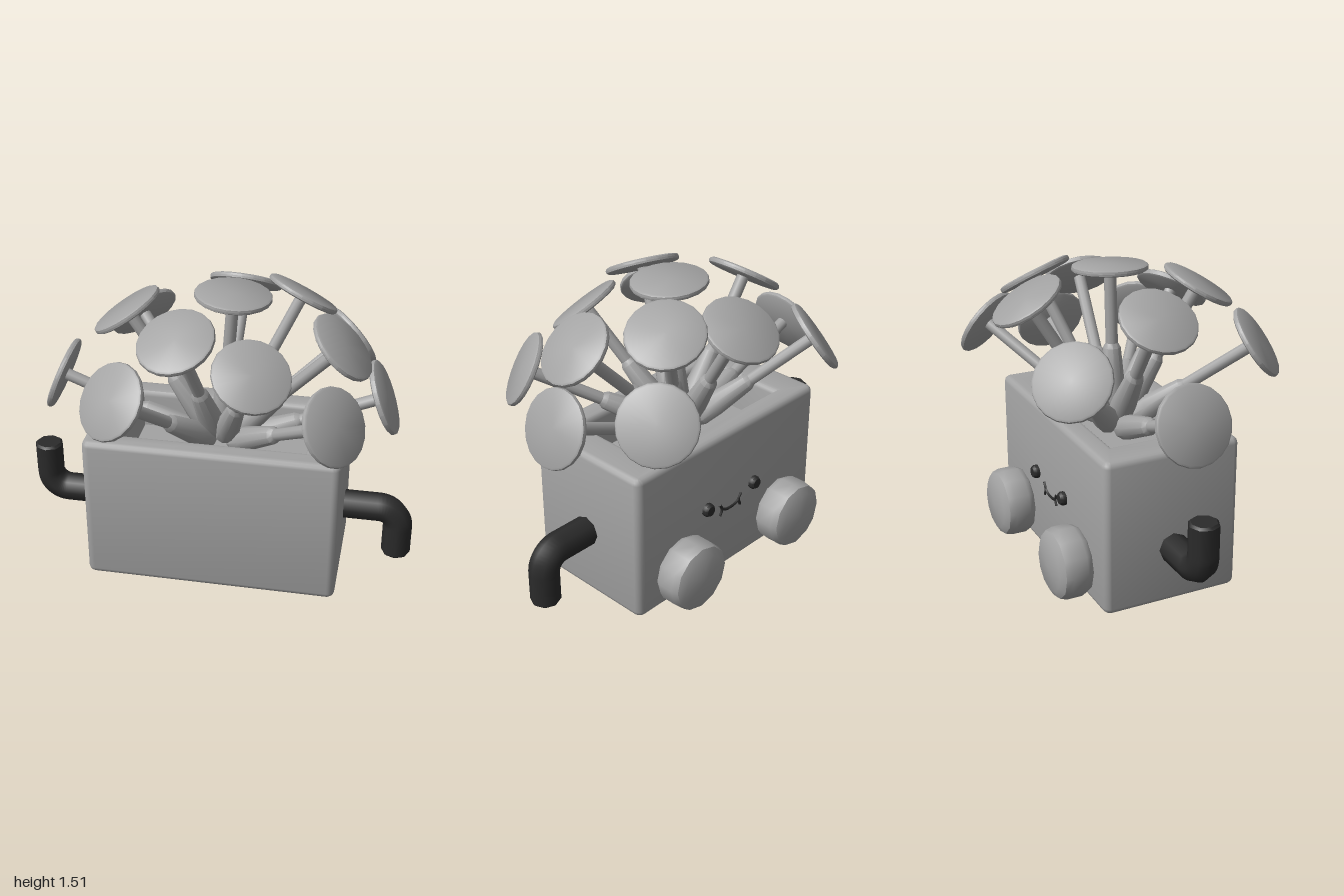
import * as THREE from 'three';
import { toCreasedNormals } from 'three/addons/utils/BufferGeometryUtils.js';

const grey = new THREE.MeshStandardMaterial({ color: 0xa3a3a3 });
grey.name = 'grey';
const black = new THREE.MeshStandardMaterial({ color: 0x2b2b2b });
black.name = 'black';

const V = (x, y, z) => new THREE.Vector3(x, y, z);

function add(parent, name, geometry, material) {
  const mesh = new THREE.Mesh(geometry, material);
  mesh.name = name;
  parent.add(mesh);
  return mesh;
}

// Turned part along +y from [radius, height] pairs, bottom to top
function turned(points, sides, crease = 0.6) {
  const profile = points.map(([r, y]) => new THREE.Vector2(r, y));
  return toCreasedNormals(new THREE.LatheGeometry(profile, sides), crease);
}

// Traces a rectangle with rounded corners
function roundedRect(path, hw, hh, r) {
  path.moveTo(-hw + r, -hh);
  path.lineTo(hw - r, -hh);
  path.absarc(hw - r, -hh + r, r, -Math.PI / 2, 0);
  path.absarc(hw - r, hh - r, r, 0, Math.PI / 2);
  path.absarc(-hw + r, hh - r, r, Math.PI / 2, Math.PI);
  path.absarc(-hw + r, -hh + r, r, Math.PI, Math.PI * 1.5);
  return path;
}

// Open box with soft edges and a solid lower half
function buildBox(group) {
  const bevel = 0.03;
  const shape = roundedRect(new THREE.Shape(), 0.643, 0.352, 0.04);
  const hole = new THREE.Path();
  hole.moveTo(-0.46, -0.23);
  hole.lineTo(-0.46, 0.23);
  hole.lineTo(0.46, 0.23);
  hole.lineTo(0.46, -0.23);
  hole.closePath();
  shape.holes.push(hole);
  const walls = new THREE.ExtrudeGeometry(shape, {
    depth: 0.785 - 2 * bevel, bevelThickness: bevel, bevelSize: bevel,
    bevelOffset: -bevel, bevelSegments: 3, curveSegments: 4,
  });
  walls.rotateX(-Math.PI / 2);
  walls.translate(0, bevel + 0.002, -0.05);
  add(group, 'boxWalls', toCreasedNormals(walls, 0.7), grey);
  const floor = add(group, 'boxFloor', new THREE.BoxGeometry(1.04, 0.58, 0.58), grey);
  floor.position.set(0, 0.293, -0.05);
}

// Stalks fan out from one point, each ending in a round disc
function buildStalks(group) {
  const origin = V(0, 0.66, -0.05);
  const disc = turned([
    [0, -0.016], [0.178, -0.016], [0.187, -0.01], [0.19, 0],
    [0.187, 0.01], [0.178, 0.016], [0, 0.016],
  ], 20);
  const tips = [
    [-0.815, 0.98, -0.05], [0.81, 1.0, -0.05], [-0.5, 1.15, -0.49],
    [0.05, 1.37, -0.48], [0.6, 1.108, -0.49], [0.365, 1.4, -0.31],
    [-0.47, 1.36, -0.05], [0.06, 1.48, -0.04], [0.6, 1.293, 0.035],
    [-0.14, 1.397, 0.34], [0.22, 1.277, 0.387], [-0.407, 1.155, 0.517],
    [0.607, 1.063, 0.4],
  ];
  for (const [x, y, z] of tips) {
    const dir = V(x, y, z).sub(origin);
    const length = dir.length();
    const stalk = new THREE.Group();
    stalk.name = 'stalk';
    stalk.position.copy(origin);
    stalk.quaternion.setFromUnitVectors(V(0, 1, 0), dir.normalize());
    add(stalk, 'rod', new THREE.CylinderGeometry(0.031, 0.031, length - 0.1, 10, 1, true), grey)
      .position.y = (length + 0.1) / 2;
    add(stalk, 'sleeve', turned([
      [0, 0.1], [0.05, 0.1], [0.062, 0.13], [0.062, 0.22], [0.045, 0.42], [0.03, 0.445],
    ], 10, 0.7), grey);
    add(stalk, 'disc', disc, grey).position.y = length;
    group.add(stalk);
  }
}

// Bent pipe arm with chamfered end caps; side is +1 or -1, bend is up or down
function buildArm(group, name, side, y, endY) {
  const bend = Math.sign(endY - y);
  const r = 0.1;
  const xEnd = 0.927;
  const path = new THREE.CurvePath();
  const corner = V(side * xEnd, y, -0.05);
  const a = V(side * (xEnd - r), y, -0.05);
  const b = V(side * xEnd, y + bend * r, -0.05);
  const start = V(side * 0.648, y, -0.05);
  const end = V(side * xEnd, endY - bend * 0.012, -0.05);
  path.add(new THREE.LineCurve3(start, a));
  path.add(new THREE.CubicBezierCurve3(a, a.clone().lerp(corner, 0.55), b.clone().lerp(corner, 0.55), b));
  path.add(new THREE.LineCurve3(b, end));
  const arm = new THREE.Group();
  arm.name = name;
  add(arm, 'pipe', new THREE.TubeGeometry(path, 40, 0.075, 8), black);
  const cap = add(arm, 'pipeEnd', turned([[0.075, 0], [0.064, 0.012], [0, 0.012]], 8), black);
  cap.position.copy(end);
  if (bend < 0) cap.rotation.x = Math.PI;
  group.add(arm);
}

// Feet, eyes and mouth on the rear wall
function buildFace(group) {
  const foot = turned([
    [0, 0], [0.14, 0], [0.166, 0.012], [0.178, 0.04], [0.178, 0.115],
    [0.168, 0.15], [0.13, 0.172], [0, 0.18],
  ], 12, 0.75);
  const eye = turned([[0.035, 0], [0.035, 0.02], [0.026, 0.033], [0, 0.036]], 10, 0.8);
  foot.rotateX(-Math.PI / 2);
  eye.rotateX(-Math.PI / 2);
  for (const s of [-1, 1]) {
    add(group, s > 0 ? 'leftFoot' : 'rightFoot', foot, grey).position.set(s * 0.365, 0.179, -0.4);
    add(group, s > 0 ? 'leftEye' : 'rightEye', eye, black).position.set(s * 0.172, 0.415, -0.4);
  }
  const z = -0.404;
  const line = (name, points) => add(group, name,
    new THREE.TubeGeometry(new THREE.CatmullRomCurve3(points), 10, 0.008, 6), black);
  line('mouth', [V(-0.062, 0.362, z), V(-0.03, 0.348, z), V(0.03, 0.348, z), V(0.062, 0.362, z)]);
  for (const s of [-1, 1]) {
    line('mouthCorner', [V(s * 0.08, 0.395, z), V(s * 0.062, 0.362, z), V(s * 0.075, 0.328, z)]);
  }
}

export function createModel() {
  const model = new THREE.Group();
  model.name = 'boxCharacter';
  buildBox(model);
  buildStalks(model);
  buildArm(model, 'leftArm', 1, 0.362, 0.095);
  buildArm(model, 'rightArm', -1, 0.292, 0.56);
  buildFace(model);
  return model;
}
